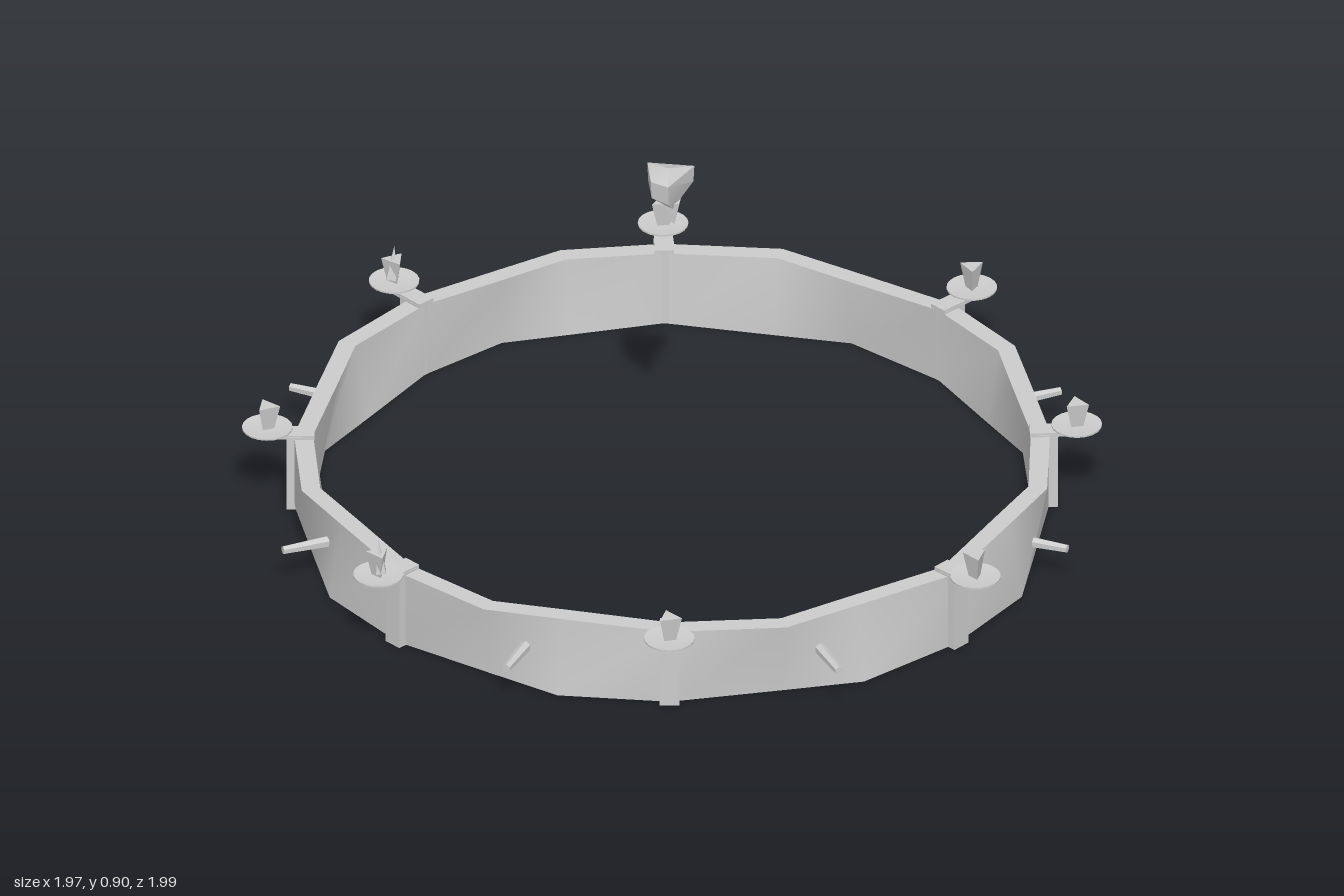
import * as THREE from 'three';
import { toCreasedNormals } from 'three/addons/utils/BufferGeometryUtils.js';
import { ConvexGeometry } from 'three/addons/geometries/ConvexGeometry.js';

const V = (x, y, z) => new THREE.Vector3(x, y, z);
const HEIGHT = 0.185;
const HALF = 0.022; // half the band thickness

// post positions [x, z], clockwise from the back
const POSTS = [[-0.04, -0.86], [0.61, -0.61], [0.84, -0.05], [0.645, 0.58],
  [0.012, 0.85], [-0.6, 0.6], [-0.845, 0], [-0.595, -0.61]];
// which half of each span bends at the top (the bottom bends in the other)
const LATE = [false, false, false, true, true, true, true, true];

// a point on the arc between two posts
function arcPoint(p, q, t, grow) {
  const a = Math.atan2(p[0], -p[1]);
  let b = Math.atan2(q[0], -q[1]);
  if (b < a) b += Math.PI * 2;
  const r = THREE.MathUtils.lerp(Math.hypot(...p), Math.hypot(...q), t) + grow;
  const th = a + (b - a) * t;
  return V(r * Math.sin(th), 0, -r * Math.cos(th));
}

// the two middle points of an edge that bends only once
function edgePoints(p, q, late) {
  const bend = arcPoint(p, q, late ? 0.63 : 0.37, 0.012);
  const end = late ? V(p[0], 0, p[1]) : V(q[0], 0, q[1]);
  const other = bend.clone().lerp(end, 0.42);
  return late ? [other, bend] : [bend, other];
}

// closed hoop whose walls twist between posts
function bandGeometry() {
  const sections = [];
  const add = (top, bot) => {
    const section = [];
    for (const [c, y, s] of [[top, HEIGHT, 1], [bot, 0, 1], [bot, 0, -1], [top, HEIGHT, -1]]) {
      const k = 1 + s * HALF / c.length();
      section.push(V(c.x * k, y, c.z * k));
    }
    sections.push(section);
  };
  POSTS.forEach((p, i) => {
    const q = POSTS[(i + 1) % 8];
    const top = edgePoints(p, q, LATE[i]);
    const bot = edgePoints(p, q, !LATE[i]);
    const c = V(p[0], 0, p[1]);
    add(c, c);
    add(top[0], bot[0]);
    add(top[1], bot[1]);
  });
  const pos = [];
  sections.forEach((s, i) => {
    const n = sections[(i + 1) % sections.length];
    for (let k = 0; k < 4; k++) {
      const m = (k + 1) % 4;
      for (const v of [s[k], n[k], n[m], s[k], n[m], s[m]]) pos.push(v.x, v.y, v.z);
    }
  });
  const g = new THREE.BufferGeometry();
  g.setAttribute('position', new THREE.Float32BufferAttribute(pos, 3));
  return toCreasedNormals(g, 0.6);
}

export function createModel() {
  const model = new THREE.Group();
  const iron = new THREE.MeshStandardMaterial({ color: 0xcccccc });
  iron.name = 'pale grey';

  const mesh = (name, geo, parent, x = 0, y = 0, z = 0) => {
    const m = new THREE.Mesh(geo, iron);
    m.name = name;
    m.position.set(x, y, z);
    parent.add(m);
    return m;
  };

  mesh('hoop', bandGeometry(), model);

  const postGeo = new THREE.BoxGeometry(0.046, 0.19, 0.062);
  const armGeo = new THREE.BoxGeometry(0.044, 0.01, 0.11);
  const saucerGeo = toCreasedNormals(new THREE.LatheGeometry([
    [0, 0.192], [0.025, 0.193], [0.058, 0.202], [0.058, 0.206], [0.03, 0.203], [0, 0.203],
  ].map(([x, y]) => new THREE.Vector2(x, y)), 20), 0.6);
  // three-sided candle stub, wider at the top
  const stubGeo = toCreasedNormals(new THREE.CylinderGeometry(0.03, 0.016, 0.06, 3), 0.4);
  const spikeGeo = toCreasedNormals(new THREE.ConeGeometry(0.016, 0.085, 4), 0.4);

  // posts, each carrying a saucer on a short arm
  POSTS.forEach(([x, z], i) => {
    const holder = new THREE.Group();
    holder.name = 'candleHolder' + (i + 1);
    holder.position.set(x, 0, z);
    holder.rotation.y = Math.atan2(x, z);
    model.add(holder);
    mesh('post', postGeo, holder, 0, 0.095, 0.008);
    mesh('arm', armGeo, holder, 0, 0.19, 0.03);
    mesh('saucer', saucerGeo, holder, 0, 0, 0.083);
    mesh('candleStub', stubGeo, holder, 0, 0.232, 0.083).rotation.y = i * 1.9;
    if (i === 5 || i === 7) {
      const spike = mesh('wickSpike', spikeGeo, holder, 0.004, 0.255, 0.083);
      spike.rotation.z = 0.12;
    }
  });

  // tapered pegs sticking out between posts
  const pegGeo = toCreasedNormals(new THREE.CylinderGeometry(0.01, 0.014, 0.11, 6), 0.5);
  pegGeo.rotateX(Math.PI / 2);
  POSTS.forEach((p, i) => {
    const c = arcPoint(p, POSTS[(i + 1) % 8], 0.5, 0.055);
    const peg = mesh('peg' + (i + 1), pegGeo, model, c.x, 0.093, c.z);
    peg.rotation.y = Math.atan2(c.x, c.z);
  });

  // faceted hanging boss above the hoop
  const boss = new THREE.Group();
  boss.name = 'hangingBoss';
  model.add(boss);
  const hull = (name, pts) =>
    mesh(name, toCreasedNormals(new ConvexGeometry(pts.map((p) => V(...p))), 0.6), boss);
  hull('bossBody', [
    [-0.01, 0.9, -0.005],
    [-0.06, 0.878, -0.068], [0.048, 0.878, -0.055], [-0.01, 0.878, 0.045], [-0.05, 0.878, 0.02],
    [-0.058, 0.835, -0.06], [0.046, 0.84, -0.05], [-0.01, 0.83, 0.042], [-0.048, 0.835, 0.02],
    [-0.025, 0.81, -0.04], [0.022, 0.81, -0.04], [0, 0.81, 0.025],
  ]);
  hull('bossNeck', [
    [-0.025, 0.82, -0.04], [0.022, 0.82, -0.04], [0.015, 0.82, 0.02], [-0.02, 0.82, 0.02],
    [-0.012, 0.775, -0.035], [0.006, 0.765, -0.035], [0.004, 0.765, 0.016], [-0.012, 0.775, 0.016],
  ]);

  return model;
}
